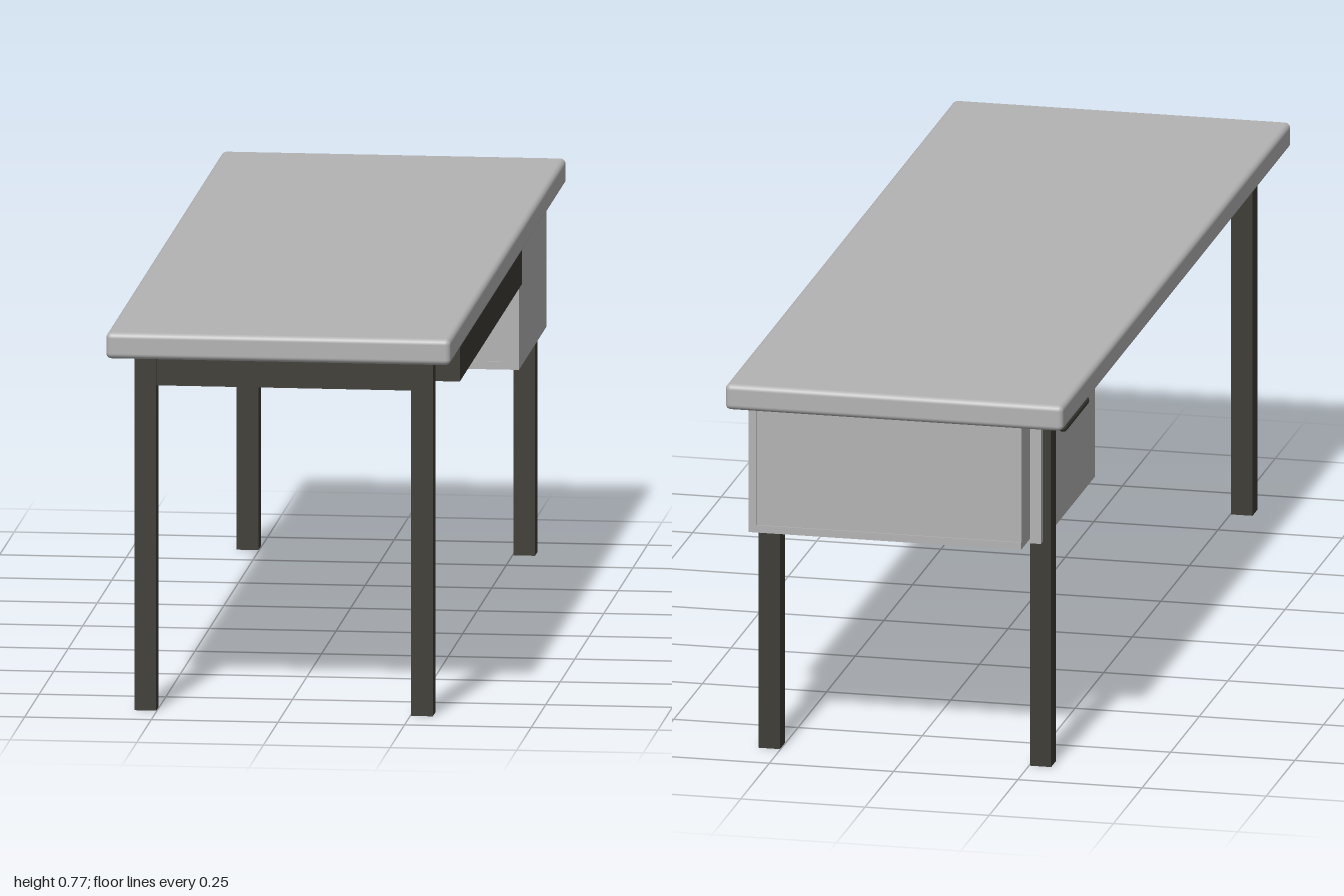
import * as THREE from 'three';
import { RoundedBoxGeometry } from 'three/addons/geometries/RoundedBoxGeometry.js';

export function createModel() {
  const desk = new THREE.Group();
  desk.name = 'desk';
  const grey = new THREE.MeshStandardMaterial({ name: 'grey panel', color: 0xb3b3b3 });
  const dark = new THREE.MeshStandardMaterial({ name: 'dark metal', color: 0x3c3b34 });

  const add = (name, geometry, material, x, y, z) => {
    const mesh = new THREE.Mesh(geometry, material);
    mesh.name = name;
    mesh.position.set(x, y, z);
    desk.add(mesh);
    return mesh;
  };
  // box given by its limits on each axis
  const box = (name, material, [x0, x1], [y0, y1], [z0, z1]) =>
    add(name, new THREE.BoxGeometry(x1 - x0, y1 - y0, z1 - z0), material,
      (x0 + x1) / 2, (y0 + y1) / 2, (z0 + z1) / 2);

  // table top with softened edges
  add('tableTop', new RoundedBoxGeometry(0.68, 0.052, 2, 4, 0.011), grey, 0, 0.743, 0);

  // four square legs
  for (const [end, z] of [['front', 0.88], ['back', -0.88]]) {
    for (const [side, s] of [['Left', 1], ['Right', -1]]) {
      add(end + side + 'Leg', new THREE.BoxGeometry(0.043, 0.703, 0.043), dark, s * 0.273, 0.3515, z);
    }
  }

  // rail between the front legs and cable tray along the side
  box('frontRail', dark, [-0.252, 0.252], [0.648, 0.701], [0.862, 0.898]);
  box('cableTray', dark, [0.213, 0.312], [0.611, 0.679], [-0.482, 0.589]);

  // cabinet: body, full-height side panel and bottom panel
  box('cabinetBody', grey, [-0.238, 0.3], [0.46, 0.709], [-0.917, -0.449]);
  box('cabinetSide', grey, [0.295, 0.31], [0.446, 0.709], [-0.92, -0.446]);
  box('cabinetBottom', grey, [-0.238, 0.295], [0.446, 0.461], [-0.92, -0.446]);

  // drawer front, set off from the cabinet by a narrow gap, with a rounded pull
  box('drawerFront', grey, [-0.278, -0.256], [0.461, 0.707], [-0.92, -0.446]);
  const pull = add('drawerHandle', new THREE.CapsuleGeometry(0.01, 0.185, 4, 12), dark, -0.286, 0.655, -0.668);
  pull.rotation.x = Math.PI / 2;

  return desk;
}
